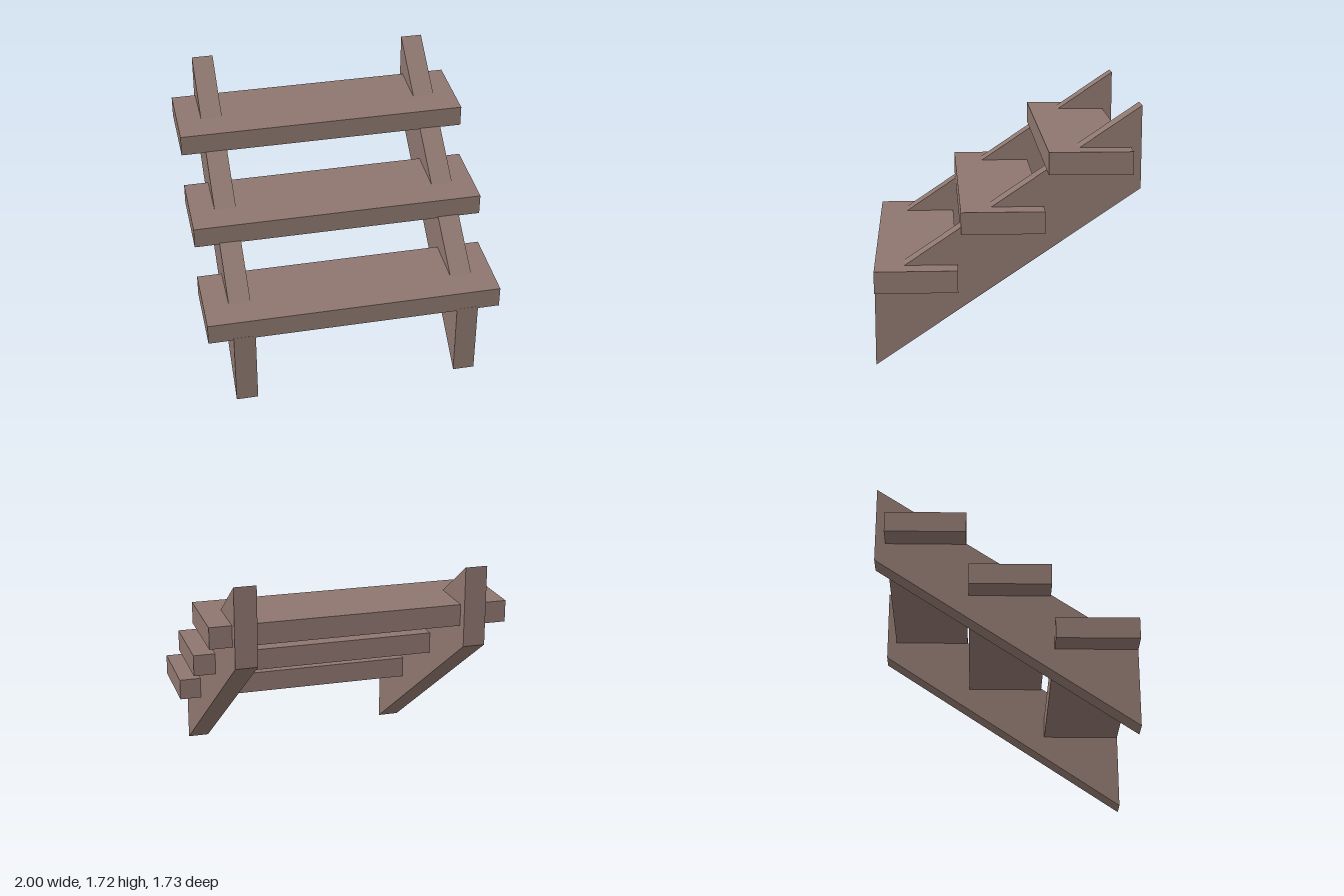
import * as THREE from 'three';

export function createModel() {
  const group = new THREE.Group();
  const wood = new THREE.MeshStandardMaterial({ color: 0x8d766e });
  wood.name = 'brown wood';

  // Sloping side boards: a parallelogram with upright ends, drawn as (-z, y)
  const profile = new THREE.Shape([
    new THREE.Vector2(-0.865, 0),
    new THREE.Vector2(0.865, 1.175),
    new THREE.Vector2(0.865, 1.717),
    new THREE.Vector2(-0.865, 0.545),
  ]);
  const thickness = 0.148;
  const stringerGeometry = new THREE.ExtrudeGeometry(profile, { depth: thickness, bevelEnabled: false });
  stringerGeometry.translate(0, 0, -thickness / 2);
  stringerGeometry.rotateY(Math.PI / 2); // shape x becomes -z
  for (const [name, x] of [['leftStringer', 0.777], ['rightStringer', -0.757]]) {
    const stringer = new THREE.Mesh(stringerGeometry, wood);
    stringer.name = name;
    stringer.position.x = x;
    group.add(stringer);
  }

  // Three flat treads set into the side boards
  const treadGeometry = new THREE.BoxGeometry(2, 0.146, 0.541);
  for (let i = 0; i < 3; i++) {
    const tread = new THREE.Mesh(treadGeometry, wood);
    tread.name = `tread${i + 1}`;
    tread.position.set(0, 0.604 + i * 0.384, 0.594 - i * 0.56);
    group.add(tread);
  }
  return group;
}
